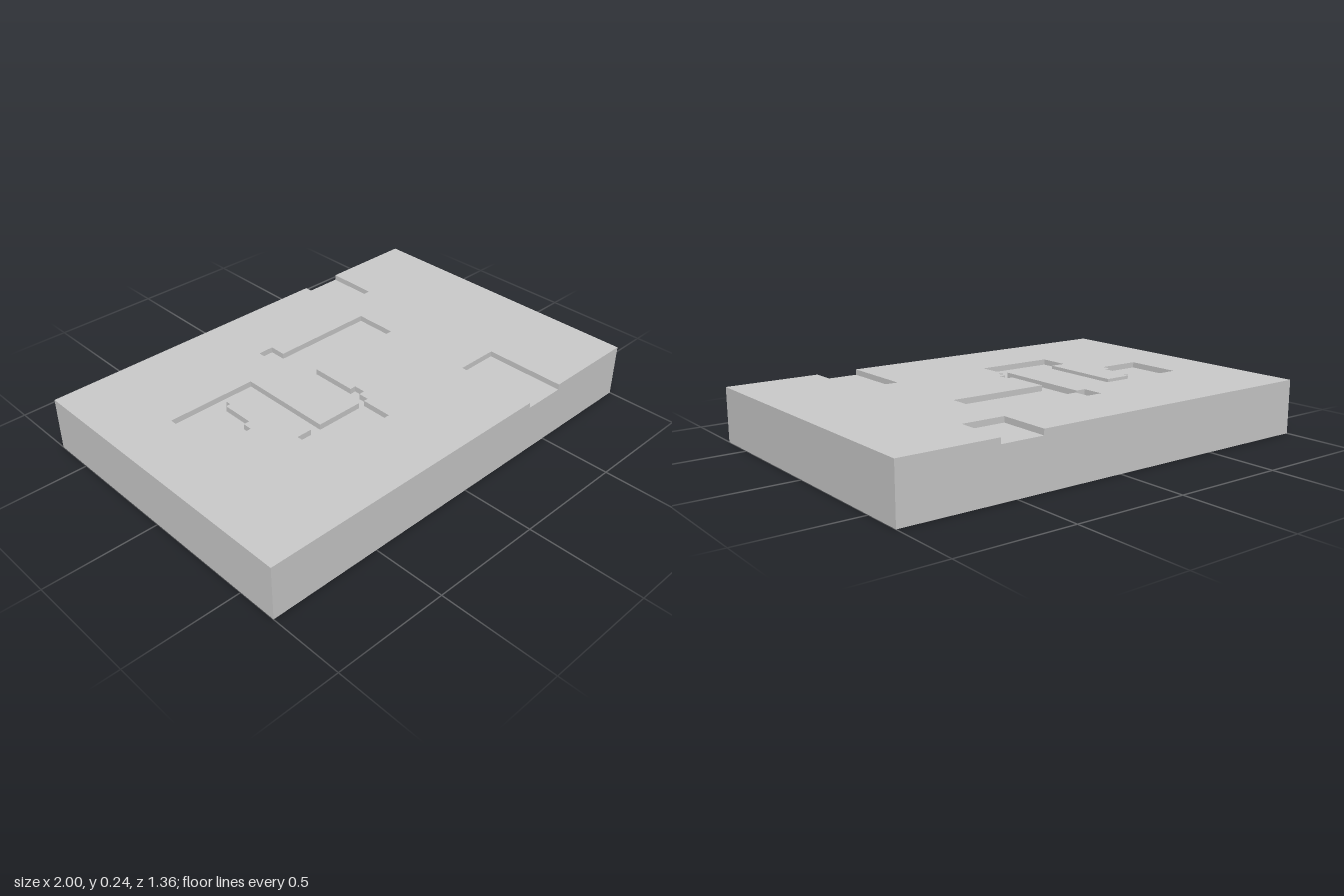
import * as THREE from 'three';

const TOP = 0.24, FLOOR = 0.215, D = 0.678;
const NX0 = 0.38, NX1 = 0.573, NF = 0.315, NB = -0.443;

// All outlines are [x, z] pairs
const blockOutline = [[-1, D], [1, D], [1, -D], [-1, -D]];
const rimOutline = [
  [-1, D], [NX0, D], [NX0, NF], [NX1, NF], [NX1, D], [1, D],
  [1, -D], [NX1, -D], [NX1, NB], [NX0, NB], [NX0, -D], [-1, -D],
];
const frontNotch = [[NX0, D], [NX1, D], [NX1, NF], [NX0, NF]];
const backNotch = [[NX0, NB], [NX1, NB], [NX1, -D], [NX0, -D]];
// Stepped channel, running clockwise from above so its walls face inward
const channelOutline = [
  [-0.743, -0.23], [-0.337, -0.23], [-0.337, 0.198], [-0.123, 0.198],
  [-0.123, -0.275], [-0.168, -0.275], [-0.168, -0.375], [-0.096, -0.375],
  [-0.096, -0.301], [0.38, -0.301], [0.38, -0.108], [-0.075, -0.108],
  [-0.075, 0.1], [-0.048, 0.1], [-0.048, 0.152], [-0.075, 0.152],
  [-0.075, 0.2], [-0.096, 0.2], [-0.096, 0.341], [-0.455, 0.341],
  [-0.455, 0.198], [-0.385, 0.198], [-0.385, -0.183], [-0.503, -0.183],
  [-0.503, -0.158], [-0.524, -0.158], [-0.524, -0.013], [-0.551, -0.013],
  [-0.551, 0.03], [-0.743, 0.03],
];

const toPoints = (outline) => outline.map(([x, z]) => new THREE.Vector2(x, -z));

// Horizontal face at height y, facing up
function flatFace(outline, y, holes = []) {
  const shape = new THREE.Shape(toPoints(outline));
  shape.holes = holes.map((h) => new THREE.Path(toPoints(h)));
  return new THREE.ShapeGeometry(shape).rotateX(-Math.PI / 2).translate(0, y, 0);
}

// Upright walls along a closed outline
function walls(outline, y0, y1) {
  const pos = [];
  outline.forEach(([ax, az], i) => {
    const [bx, bz] = outline[(i + 1) % outline.length];
    pos.push(ax, y0, az, bx, y0, bz, bx, y1, bz);
    pos.push(ax, y0, az, bx, y1, bz, ax, y1, az);
  });
  const geo = new THREE.BufferGeometry();
  geo.setAttribute('position', new THREE.Float32BufferAttribute(pos, 3));
  geo.computeVertexNormals();
  return geo;
}

export function createModel() {
  const group = new THREE.Group();
  group.name = 'channelledBlock';
  const material = new THREE.MeshStandardMaterial({ color: 0xcccccc, flatShading: true });
  const add = (name, geometry) => {
    const mesh = new THREE.Mesh(geometry, material);
    mesh.name = name;
    group.add(mesh);
  };

  // Solid block
  add('underside', new THREE.PlaneGeometry(2, 2 * D).rotateX(Math.PI / 2));
  add('blockSides', walls(blockOutline, 0, FLOOR));

  // Top surface with its rim and the two edge notches
  add('topSurface', flatFace(rimOutline, TOP, [channelOutline]));
  add('rimAndNotchWalls', walls(rimOutline, FLOOR, TOP));
  add('frontNotchFloor', flatFace(frontNotch, FLOOR));
  add('backNotchFloor', flatFace(backNotch, FLOOR));

  // Sunken stepped channel
  add('channelWalls', walls(channelOutline, FLOOR, TOP));
  add('channelFloor', flatFace(channelOutline, FLOOR));
  return group;
}
